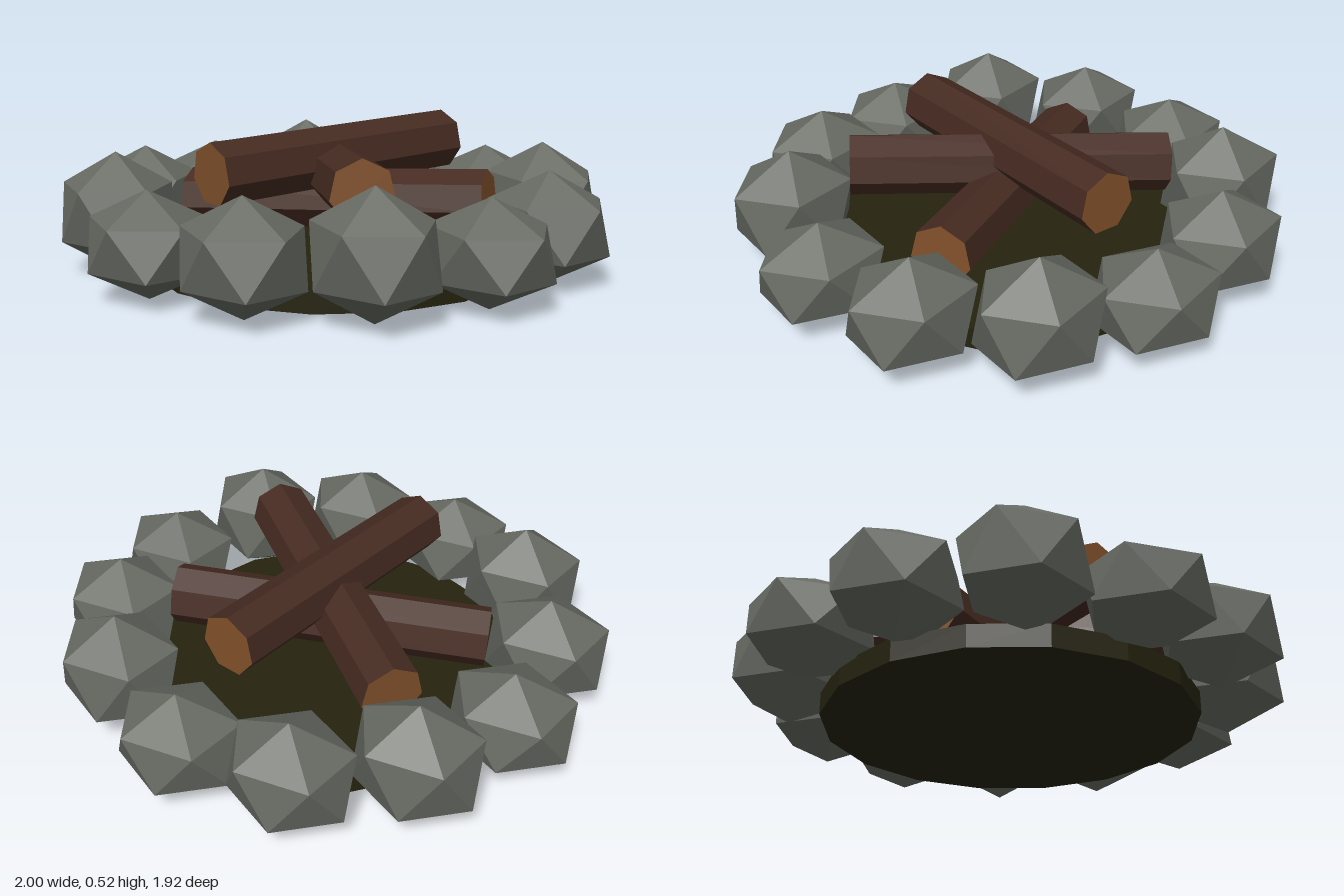
import * as THREE from 'three';

function material(name, color) {
  const m = new THREE.MeshStandardMaterial({ color, flatShading: true });
  m.name = name;
  return m;
}

export function createModel() {
  const stone = material('stone', 0x666a62);
  const bark = material('bark', 0x462b21);
  const cutWood = material('cutWood', 0x80502a);
  const ash = material('ash', 0x25230f);

  const model = new THREE.Group();
  model.name = 'campfire';

  // Ash bed
  const bed = new THREE.Mesh(new THREE.CylinderGeometry(0.67, 0.67, 0.08, 16), ash);
  bed.name = 'ashBed';
  bed.position.y = 0.04;
  model.add(bed);

  // Ring of stones: one corner pointing up, three alternating heights
  const stoneShape = new THREE.IcosahedronGeometry(1, 0);
  stoneShape.rotateZ(-Math.atan(2 / (1 + Math.sqrt(5))));
  const halfHeights = [0.182, 0.215, 0.196];
  const stones = new THREE.Group();
  stones.name = 'stoneRing';
  for (let i = 0; i < 12; i++) {
    const angle = (i / 12) * Math.PI * 2;
    const h = halfHeights[i % 3];
    const rock = new THREE.Mesh(stoneShape, stone);
    rock.name = 'stone';
    rock.scale.set(0.245, h, 0.217);
    rock.position.set(0.78 * Math.cos(angle), h, 0.777 * Math.sin(angle));
    stones.add(rock);
  }
  model.add(stones);

  // Seven-sided logs with pale cut ends, each laid between two end points
  function addLog(name, from, to) {
    const a = new THREE.Vector3(...from);
    const b = new THREE.Vector3(...to);
    const geometry = new THREE.CylinderGeometry(0.11, 0.11, a.distanceTo(b), 7);
    geometry.rotateX(-Math.PI / 2);
    const log = new THREE.Mesh(geometry, [bark, cutWood, cutWood]);
    log.name = name;
    log.position.copy(a).add(b).multiplyScalar(0.5);
    log.lookAt(b);
    model.add(log);
  }
  addLog('lowerLog', [-0.494, 0.21, 0.285], [0.494, 0.272, -0.285]);
  addLog('middleLog', [-0.494, 0.31, -0.285], [0.494, 0.367, 0.285]);
  addLog('upperLog', [0, 0.384, 0.53], [0, 0.414, -0.53]);

  return model;
}
